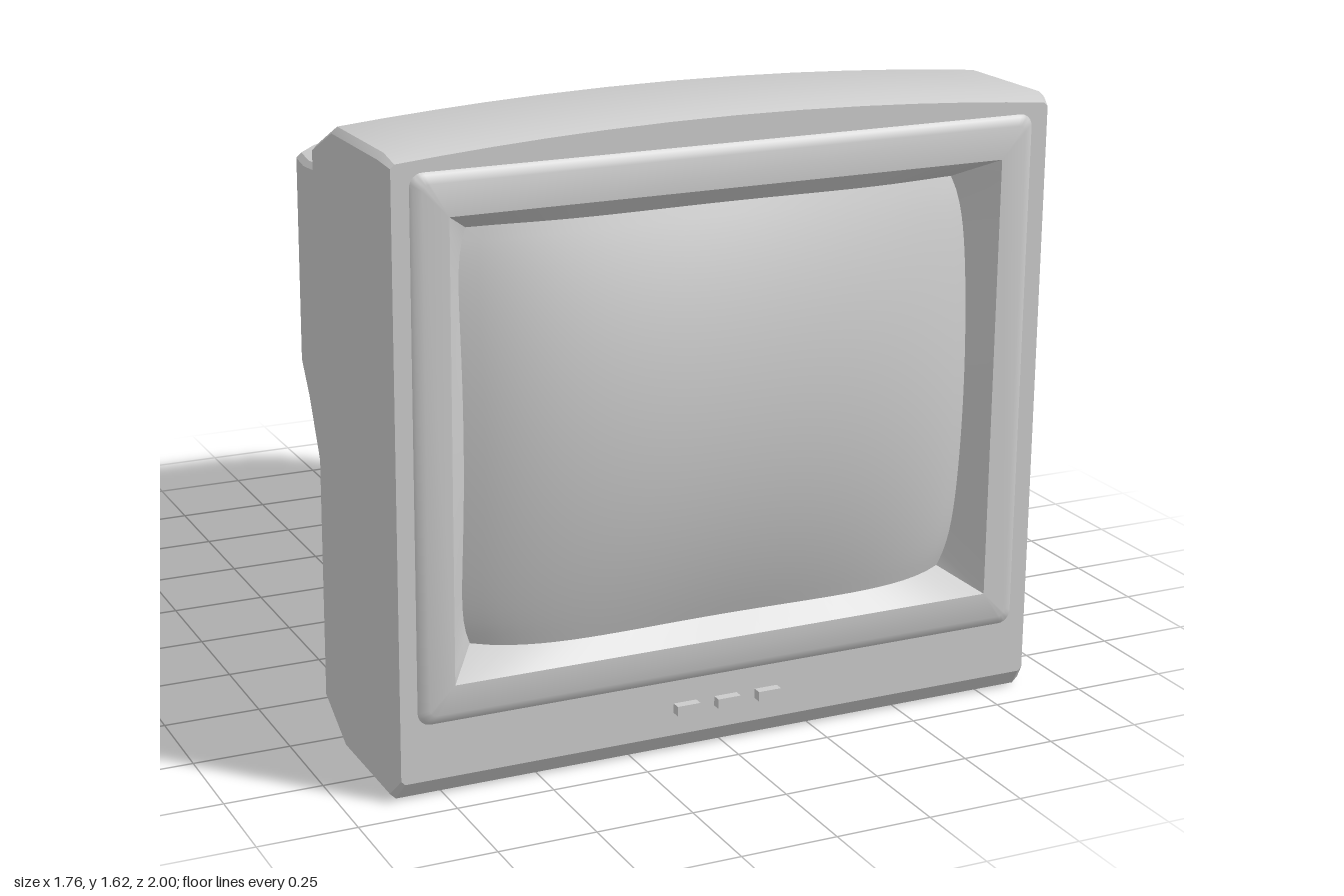
import * as THREE from 'three';
import { toCreasedNormals } from 'three/addons/utils/BufferGeometryUtils.js';

const grey = new THREE.MeshStandardMaterial({ color: 0xcccccc });

// Skin a list of equal-length rows of [x, y, z] points.
function loft(rows, closed, crease = 0.5) {
  const n = rows[0].length, index = [];
  for (let i = 0; i < rows.length - 1; i++) {
    for (let j = 0; j < (closed ? n : n - 1); j++) {
      const k = (j + 1) % n;
      const a = i * n + j, b = i * n + k, c = b + n, d = a + n;
      index.push(a, b, c, a, c, d);
    }
  }
  const g = new THREE.BufferGeometry();
  g.setAttribute('position', new THREE.Float32BufferAttribute(rows.flat(2), 3));
  g.setIndex(index);
  return toCreasedNormals(g, crease);
}

// Counter-clockwise rounded rectangle facing +z.
function roundedRing(cy, hw, hh, r, z) {
  const pts = [];
  [[1, -1], [1, 1], [-1, 1], [-1, -1]].forEach(([sx, sy], q) => {
    for (let i = 0; i <= 6; i++) {
      const a = (q - 1 + i / 6) * Math.PI / 2;
      pts.push([sx * (hw - r) + r * Math.cos(a), cy + sy * (hh - r) + r * Math.sin(a), z]);
    }
  });
  return pts;
}

// Housing sections: centre z, edge z, half width, top centre/edge, bottom centre/edge, bow power, chamfer
const SECTIONS = [
  [0.93, 0.93, 0.865, 1.60, 1.56, 0.05, 0.05, 2, 0.01],
  [0.89, 0.89, 0.88, 1.62, 1.58, 0, 0, 2, 0.015],
  [0.58, 0.58, 0.88, 1.62, 1.58, 0, 0, 2, 0.015],
  [0.26, 0.26, 0.82, 1.51, 1.47, 0, 0, 2, 0.015],
  [-0.10, -0.05, 0.71, 1.39, 1.365, 0, 0, 2, 0.015],
  [-0.50, -0.36, 0.58, 1.27, 1.262, 0, 0, 2, 0.015],
  [-0.65, -0.50, 0.56, 1.245, 1.238, 0.33, 0.35, 2, 0.015],
  [-0.82, -0.66, 0.535, 1.22, 1.215, 0.50, 0.51, 2, 0.015],
  [-0.985, -0.81, 0.505, 1.21, 1.205, 0.56, 0.575, 4, 0.015],
  [-1.00, -0.82, 0.502, 1.195, 1.19, 0.575, 0.59, 4, 0],
];
const HALF = [0.2, 0.4, 0.57, 0.72, 0.87, 1];
const COLUMNS = [...HALF.map((s) => -s).reverse(), 0, ...HALF];

function housingParts([zc, ze, w, tc, te, bc, be, power, c]) {
  const line = (mid, edge) => COLUMNS.map((s) => [
    s * (w - c), mid + (edge - mid) * s * s, zc + (ze - zc) * Math.abs(s) ** power]);
  const top = line(tc, te), bottom = line(bc, be);
  const ring = [...top, [w, te - c, ze], [w, be + c, ze],
    ...[...bottom].reverse(), [-w, be + c, ze], [-w, te - c, ze]];
  return { top, bottom, ring };
}

// Bulging tube face, u and v in -1..1
const CY = 0.86;
function screenPoint(u, v) {
  return [
    u * (0.68 - 0.03 * v ** 8),
    CY + v * (0.525 - 0.01 * u ** 8),
    0.995 - 0.105 * u ** 4 - 0.10 * v * v + 0.05 * u * u * v * v,
  ];
}

export function createModel() {
  const model = new THREE.Group();
  const add = (name, geometry, parent = model) => {
    const mesh = new THREE.Mesh(geometry, grey);
    mesh.name = name;
    parent.add(mesh);
    return mesh;
  };

  // Tapering housing with undercut back
  const parts = SECTIONS.map(housingParts);
  add('housing', loft(parts.map((p) => p.ring), true));
  const last = parts[parts.length - 1];
  add('backPanel', loft([last.top, last.bottom], false));

  // Flat front with a hole behind the raised frame
  const toV2 = ([x, y]) => new THREE.Vector2(x, y);
  const face = new THREE.Shape(parts[0].ring.map(toV2));
  face.holes.push(new THREE.Path(roundedRing(CY, 0.78, 0.62, 0.02, 0).map(toV2)));
  const front = new THREE.ShapeGeometry(face);
  front.translate(0, 0, 0.93);
  add('frontPanel', front);

  // Raised soft-edged frame around the opening
  add('screenFrame', loft([
    roundedRing(0.865, 0.825, 0.675, 0.035, 0.925),
    roundedRing(0.865, 0.815, 0.665, 0.03, 0.937),
    roundedRing(0.865, 0.795, 0.645, 0.02, 0.945),
    roundedRing(CY, 0.73, 0.57, 0, 0.945),
  ], true, 0.9));

  // Sloping reveal between the opening and the screen edge
  const N = 32, rim = [];
  for (const [u, v, du, dv] of [[-1, -1, 1, 0], [1, -1, 0, 1], [1, 1, -1, 0], [-1, 1, 0, -1]]) {
    for (let i = 0; i < N; i++) rim.push([u + du * 2 * i / N, v + dv * 2 * i / N]);
  }
  add('screenReveal', loft([
    rim.map(([u, v]) => [0.73 * u, CY + 0.57 * v, 0.945]),
    rim.map(([u, v]) => screenPoint(u, v)),
  ], true));

  // Screen
  const steps = Array.from({ length: N + 1 }, (_, i) => -1 + 2 * i / N);
  add('screen', loft(steps.map((v) => steps.map((u) => screenPoint(u, v))), false, 1));

  // Control buttons
  const buttons = new THREE.Group();
  buttons.name = 'controlButtons';
  model.add(buttons);
  for (const x of [-0.115, -0.003, 0.11]) {
    add('button', new THREE.BoxGeometry(0.062, 0.025, 0.035), buttons).position.set(x, 0.122, 0.936);
  }
  return model;
}
